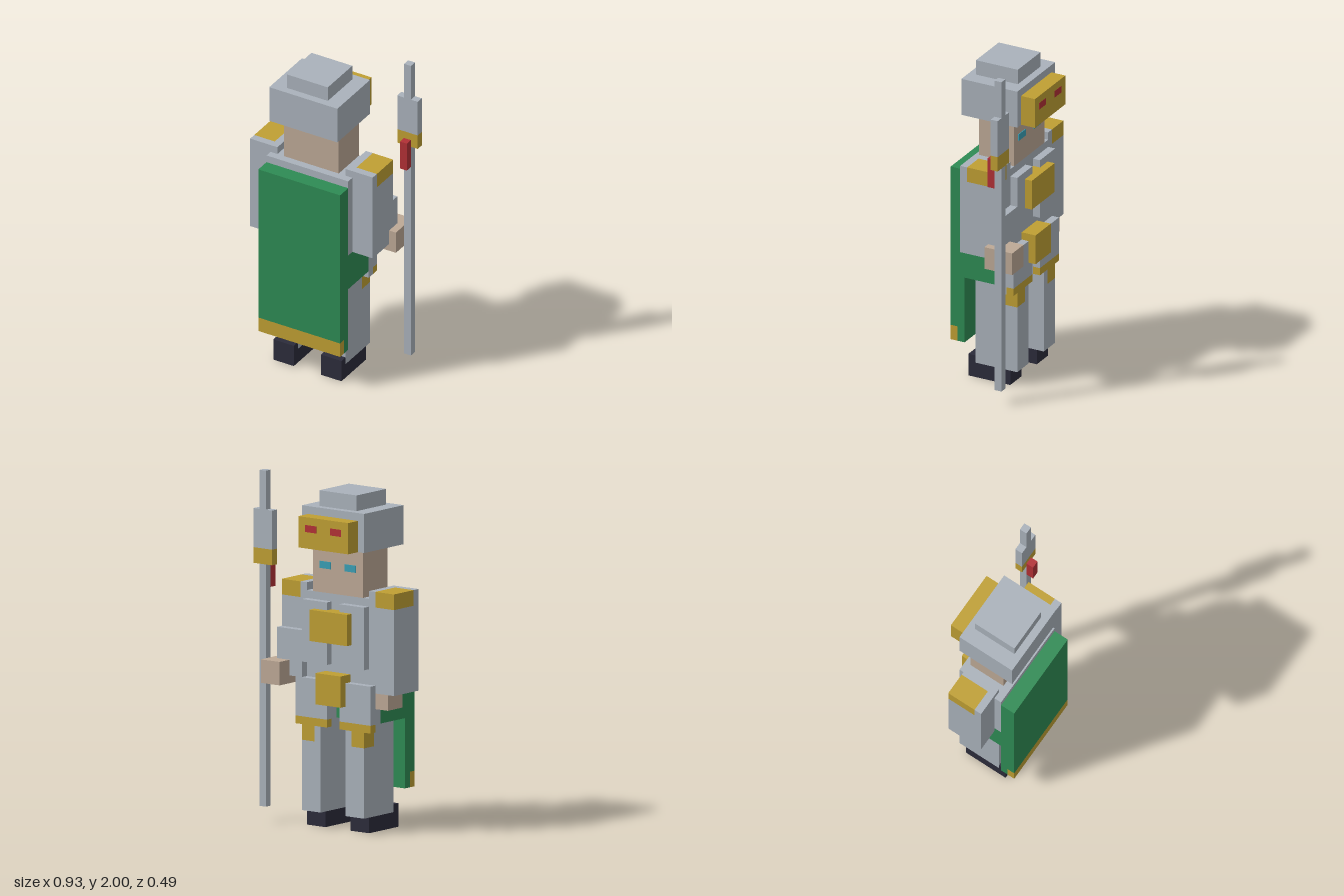
import * as THREE from 'three';

const U = 2 / 45; // one block unit; the figure is 21 x 45 x 11 blocks

export function createModel() {
  const root = new THREE.Group();
  root.name = 'blockGuard';
  const mat = (name, hex) => {
    const m = new THREE.MeshStandardMaterial({ color: hex });
    m.name = name;
    return m;
  };
  const steel = mat('steel', 0xaab2bb);
  const green = mat('capeGreen', 0x2e8b54);
  const gold = mat('gold', 0xbf9f33);
  const skin = mat('skin', 0xbda996);
  const red = mat('red', 0xb23035);
  const navy = mat('bootNavy', 0x2c2c3b);
  const blue = mat('eyeBlue', 0x3a9fb5);

  // Box given by block ranges [from, to] along x, y and z
  const box = (name, m, [x0, x1], [y0, y1], [z0, z1], parent = root) => {
    const mesh = new THREE.Mesh(
      new THREE.BoxGeometry((x1 - x0) * U, (y1 - y0) * U, (z1 - z0) * U), m);
    mesh.position.set(((x0 + x1) / 2 - 10.5) * U, ((y0 + y1) / 2) * U, ((z0 + z1) / 2 - 5.5) * U);
    mesh.name = name;
    parent.add(mesh);
    return mesh;
  };
  const group = (name) => {
    const g = new THREE.Group();
    g.name = name;
    root.add(g);
    return g;
  };

  // Head, helmet and visor (the face looks toward -z)
  const head = group('head');
  box('face', skin, [5, 13], [30, 36], [3, 8], head);
  box('helmet', steel, [4, 14], [36, 41], [2, 10], head);
  box('helmetCrown', steel, [6, 12], [41, 43], [3, 9], head);
  box('visor', gold, [5, 13], [36, 40], [0, 2], head);
  for (const x of [7, 11]) {
    box('eye', blue, [x - 0.9, x + 0.9], [33.1, 34], [2.9, 3.02], head);
    box('visorEye', red, [x - 0.9, x + 0.9], [38.1, 39], [-0.02, 0.1], head);
  }

  // Torso with chest emblem and buckle
  box('torso', steel, [3, 15], [19, 30], [3, 9]);
  box('chestEmblem', gold, [6, 12], [24, 28], [1, 2]);
  box('chestEmblemBack', gold, [8, 10], [24, 28], [2, 3]);
  box('buckle', gold, [7, 11], [16, 20], [1, 3]);

  // Cape and the cloth around the hips
  box('hipCloth', green, [3, 15], [14, 19], [4, 9]);
  box('capeInner', green, [3, 15], [5, 29], [9, 10]);
  box('capeOuter', green, [3, 15], [7, 29], [10, 11]);
  box('capeHem', gold, [3, 15], [5, 7], [10, 11]);

  // Paired armour, legs and boots, mirrored about the body's middle (x = 9)
  for (const side of ['right', 'left']) {
    const r = (a, b) => (side === 'right' ? [a, b] : [18 - b, 18 - a]);
    const leg = group(side + 'Leg');
    box('chestPlate', steel, r(4, 8), [21, 29], [2, 3]);
    box('hipGuard', steel, r(3, 8), [14, 19], [2, 4], leg);
    box('hipGuardBack', steel, r(3, 8), [13, 14], [3, 4], leg);
    box('hipGuardTrim', gold, r(3, 8), [13, 14], [2, 3], leg);
    box('hipGuardTip', gold, r(4, 6), [11, 13], [2, 4], leg);
    box('lowerLeg', steel, r(4, 7), [2, 11], [2, 8], leg);
    box('thigh', steel, r(4, 7), [11, 14], [4, 8], leg);
    box('innerThigh', steel, r(6, 7), [11, 13], [2, 4], leg);
    box('boot', navy, r(4, 7), [0, 2], [3, 9], leg);
    box('heel', navy, r(4, 7), [2, 3], [8, 9], leg);

    // Arm with gold shoulder cap
    const arm = group(side + 'Arm');
    box('sleeve', steel, r(0, 4), [side === 'right' ? 18 : 19, 29], [3, 8], arm);
    box('shoulderCap', gold, r(0, 3), [29, 31], [3, 7], arm);
    box('shoulderInner', steel, r(3, 4), [29, 31], [3, 8], arm);
    box('shoulderBack', steel, r(0, 3), [29, 31], [7, 8], arm);
    if (side === 'right') {
      box('hand', skin, [1, 4], [16, 18], [3, 6], arm);
    } else {
      box('forearm', steel, [14, 18], [19, 25], [2, 3], arm);
      box('hand', skin, [16, 19], [18, 21], [0, 4], arm);
    }
  }

  // Spear held in the left hand
  const spear = group('spear');
  box('shaft', steel, [19, 20], [2, 33], [1, 2], spear);
  box('bladeCollar', gold, [18, 21], [33, 35], [1, 2], spear);
  box('blade', steel, [18, 21], [35, 40], [1, 2], spear);
  box('bladeTip', steel, [19, 20], [40, 45], [1, 2], spear);
  box('tassel', red, [19, 20], [30, 34], [2, 3], spear);

  return root;
}
